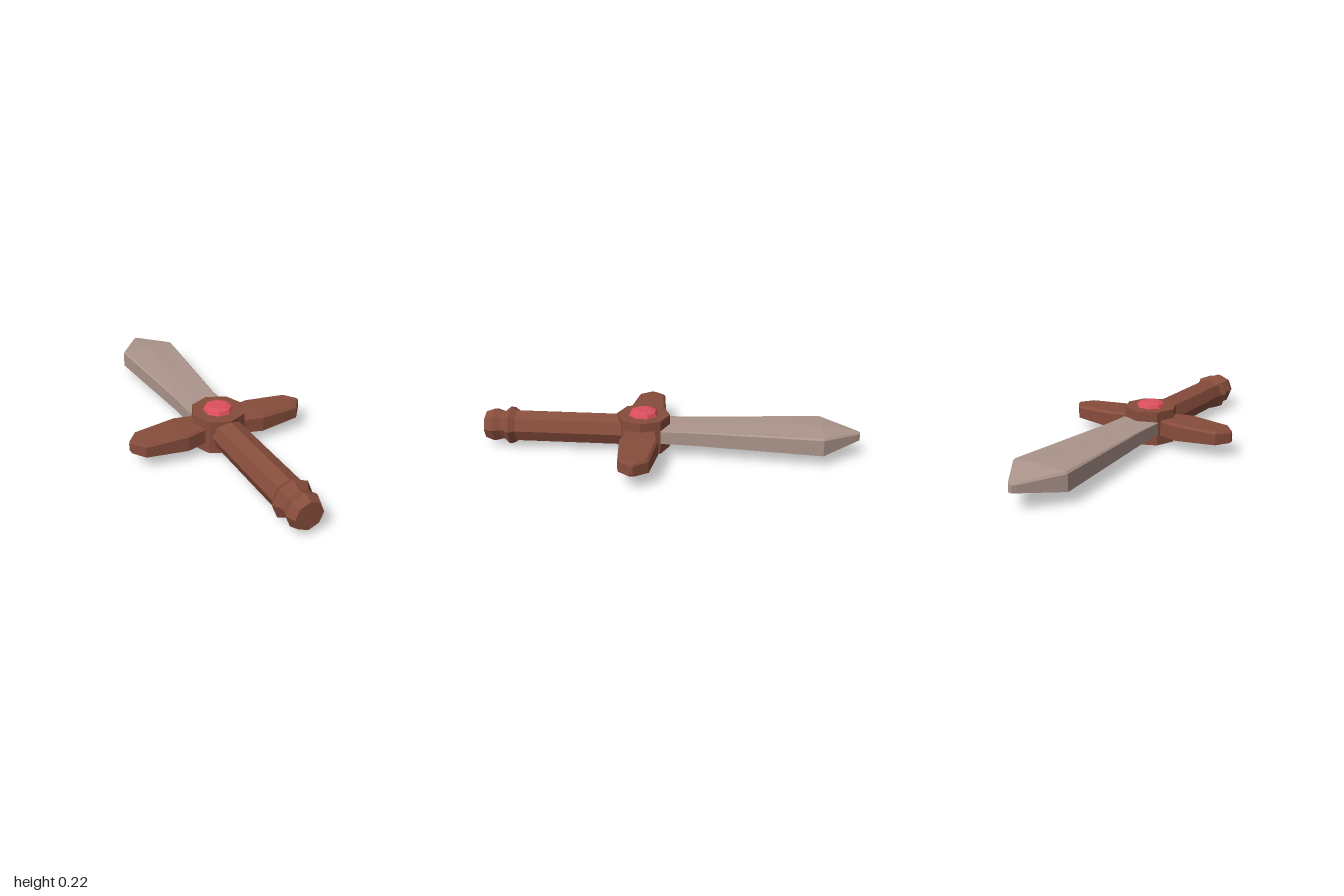
import * as THREE from 'three';

const brown = new THREE.MeshStandardMaterial({ color: 0x874d3c });
brown.name = 'brown wood';
const steel = new THREE.MeshStandardMaterial({ color: 0xac958c });
steel.name = 'dull steel';
const red = new THREE.MeshStandardMaterial({ color: 0xdc4f5e });
red.name = 'gem red';

// Split every face so that it shades flat
function faceted(geometry) {
  const flat = geometry.index ? geometry.toNonIndexed() : geometry;
  flat.computeVertexNormals();
  return flat;
}

function addPart(group, name, geometry, material) {
  const mesh = new THREE.Mesh(faceted(geometry), material);
  mesh.name = name;
  group.add(mesh);
  return mesh;
}

// Eight-sided turned shape from [radius, height] pairs, listed bottom to top
function turned(profile) {
  return new THREE.LatheGeometry(profile.map(([r, h]) => new THREE.Vector2(r, h)), 8);
}

// Bar along z with a flat underside and chamfered upper edges.
// Sections, by rising z: [z, half width, bottom, top, chamfer, ridge height]
function bar(sections) {
  const positions = [];
  const index = [];
  const n = 7;
  for (const [z, w, lo, hi, c, ridge] of sections) {
    const ring = [
      [w, lo], [w, hi - c], [w - c, hi], [0, hi + ridge],
      [c - w, hi], [-w, hi - c], [-w, lo],
    ];
    for (const [x, y] of ring) positions.push(x, y, z);
  }
  for (let s = 0; s < sections.length - 1; s++) {
    for (let i = 0; i < n; i++) {
      const a = s * n + i;
      const b = s * n + ((i + 1) % n);
      index.push(a, b, b + n, a, b + n, a + n);
    }
  }
  // End caps
  const last = (sections.length - 1) * n;
  for (let i = 1; i < n - 1; i++) {
    index.push(0, i + 1, i, last, last + i, last + i + 1);
  }
  const geometry = new THREE.BufferGeometry();
  geometry.setAttribute('position', new THREE.Float32BufferAttribute(positions, 3));
  geometry.setIndex(index);
  return geometry;
}

export function createModel() {
  const group = new THREE.Group();
  group.name = 'sword';
  const hubZ = 0.142;

  // Grip with collar and pommel
  const grip = turned([
    [0, 0.16], [0.087, 0.16], [0.087, 0.83], [0.107, 0.862], [0.08, 0.893],
    [0.08, 0.91], [0.093, 0.952], [0.075, 1], [0, 1],
  ]);
  grip.rotateX(Math.PI / 2);
  addPart(group, 'grip', grip, brown).position.y = 0.108;

  // Octagonal hub
  const hub = turned([[0, 0.016], [0.142, 0.016], [0.142, 0.2], [0, 0.2]]);
  addPart(group, 'hub', hub, brown).position.z = hubZ;

  // Gem set in the hub
  const gem = turned([[0, 0.195], [0.079, 0.195], [0.079, 0.2], [0.07, 0.218], [0.046, 0.226], [0, 0.226]]);
  gem.rotateY(Math.PI / 8);
  addPart(group, 'gem', gem, red).position.z = hubZ;

  // Crossguard arms
  for (const side of [1, -1]) {
    const arm = bar([
      [0.09, 0.08, 0.068, 0.15, 0.008, 0],
      [0.12, 0.08, 0.068, 0.152, 0.008, 0],
      [0.215, 0.1, 0.064, 0.154, 0.012, 0],
      [0.435, 0.077, 0.075, 0.144, 0.012, 0],
      [0.486, 0.014, 0.078, 0.141, 0.008, 0],
      [0.492, 0.006, 0.09, 0.128, 0.004, 0],
    ]);
    arm.rotateY(side * Math.PI / 2);
    addPart(group, side > 0 ? 'leftGuardArm' : 'rightGuardArm', arm, brown).position.z = hubZ;
  }

  // Blade, from tip to root
  const blade = bar([
    [-1, 0.01, 0.096, 0.136, 0.004, 0.001],
    [-0.982, 0.026, 0.094, 0.14, 0.008, 0.002],
    [-0.8, 0.158, 0.065, 0.16, 0.01, 0.006],
    [-0.13, 0.109, 0.074, 0.15, 0.005, 0.001],
    [0.04, 0.108, 0.077, 0.146, 0.002, 0],
  ]);
  addPart(group, 'blade', blade, steel);

  return group;
}
